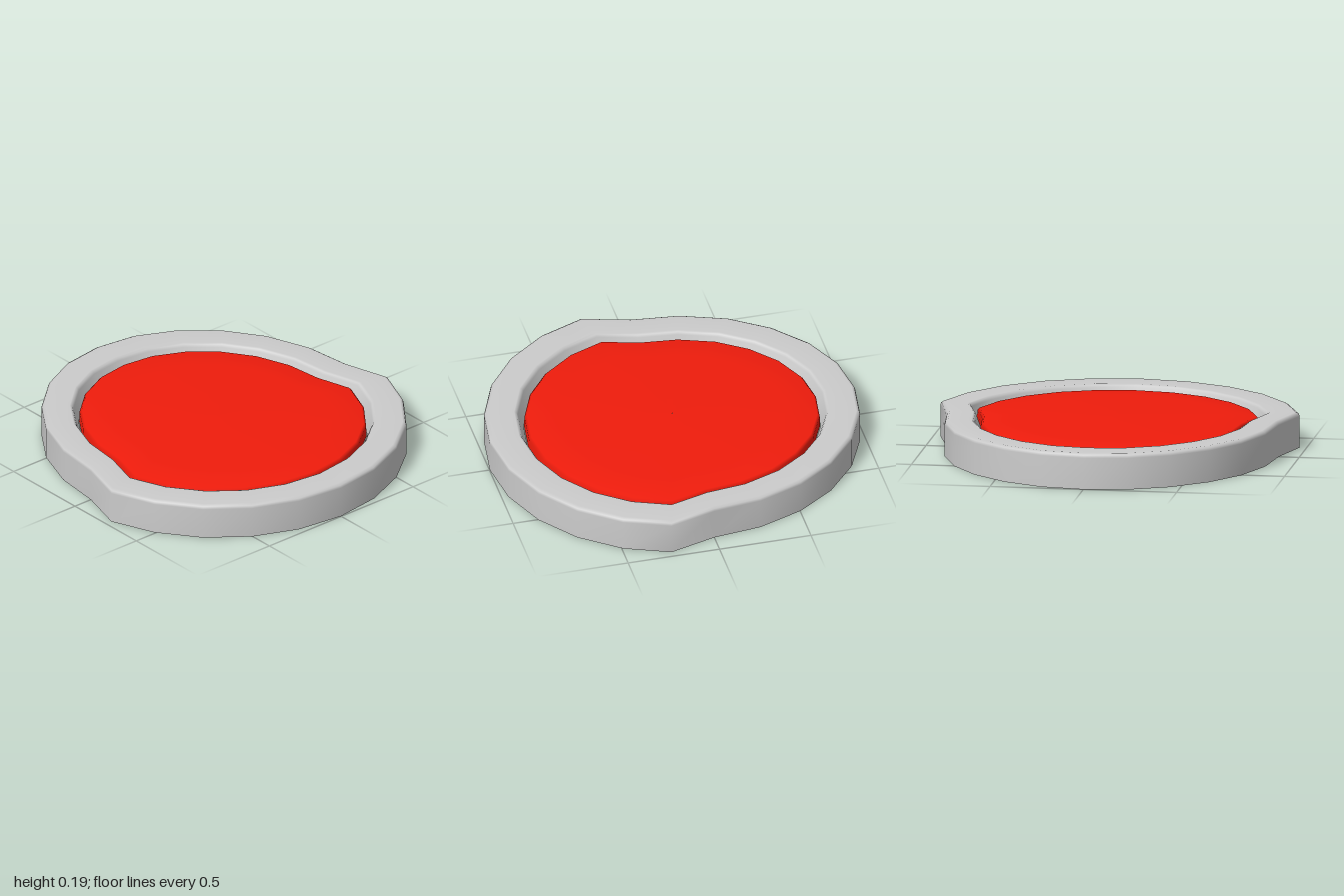
import * as THREE from 'three';

// Right half of the outline (x, z), from back to front
const HALF = [
  [0, -1], [0.23, -0.968], [0.445, -0.867], [0.63, -0.707], [0.77, -0.505], [0.86, -0.26], [0.89, 0],
  [0.963, 0.253], [0.867, 0.493], [0.708, 0.703], [0.503, 0.862], [0.262, 0.963], [0, 0.998],
];
const OUTLINE = [...HALF, ...HALF.slice(1, -1).reverse().map(([x, z]) => [-x, z])];

// Skin between scaled copies of the outline; each row is [scale, height]
function loft(rows) {
  const n = OUTLINE.length;
  const positions = [];
  const index = [];
  for (const [s, y] of rows) {
    for (const [x, z] of OUTLINE) positions.push(x * s, y, z * s);
  }
  for (let i = 0; i < rows.length - 1; i++) {
    for (let j = 0; j < n; j++) {
      const a = i * n + j;
      const b = i * n + (j + 1) % n;
      index.push(a, a + n, b, b, a + n, b + n);
    }
  }
  const geometry = new THREE.BufferGeometry();
  geometry.setAttribute('position', new THREE.Float32BufferAttribute(positions, 3));
  geometry.setIndex(index);
  geometry.computeVertexNormals();
  return geometry;
}

export function createModel() {
  const group = new THREE.Group();
  const add = (name, geometry, options) => {
    const mesh = new THREE.Mesh(geometry, new THREE.MeshStandardMaterial(options));
    mesh.name = name;
    group.add(mesh);
  };

  // Hollow rim: outer wall, rounded top edge, flat top and sloping inner lip
  add('rim', loft([
    [1, 0], [1, 0.17], [0.995, 0.184], [0.98, 0.193],
    [0.84, 0.193], [0.828, 0.188], [0.82, 0.175], [0.79, 0.1],
  ]), { color: 0xcccccc, side: THREE.DoubleSide });

  // Gently domed panel with upright sides
  add('panel', loft([
    [0.787, 0.098], [0.785, 0.158], [0.772, 0.173], [0.6, 0.183], [0.001, 0.19],
  ]), { color: 0xf01c0c });

  // Flat floor under the panel, closing the bottom of the lip
  add('floor', loft([[0.001, 0.1], [0.79, 0.1]]), { color: 0xcccccc });

  return group;
}
